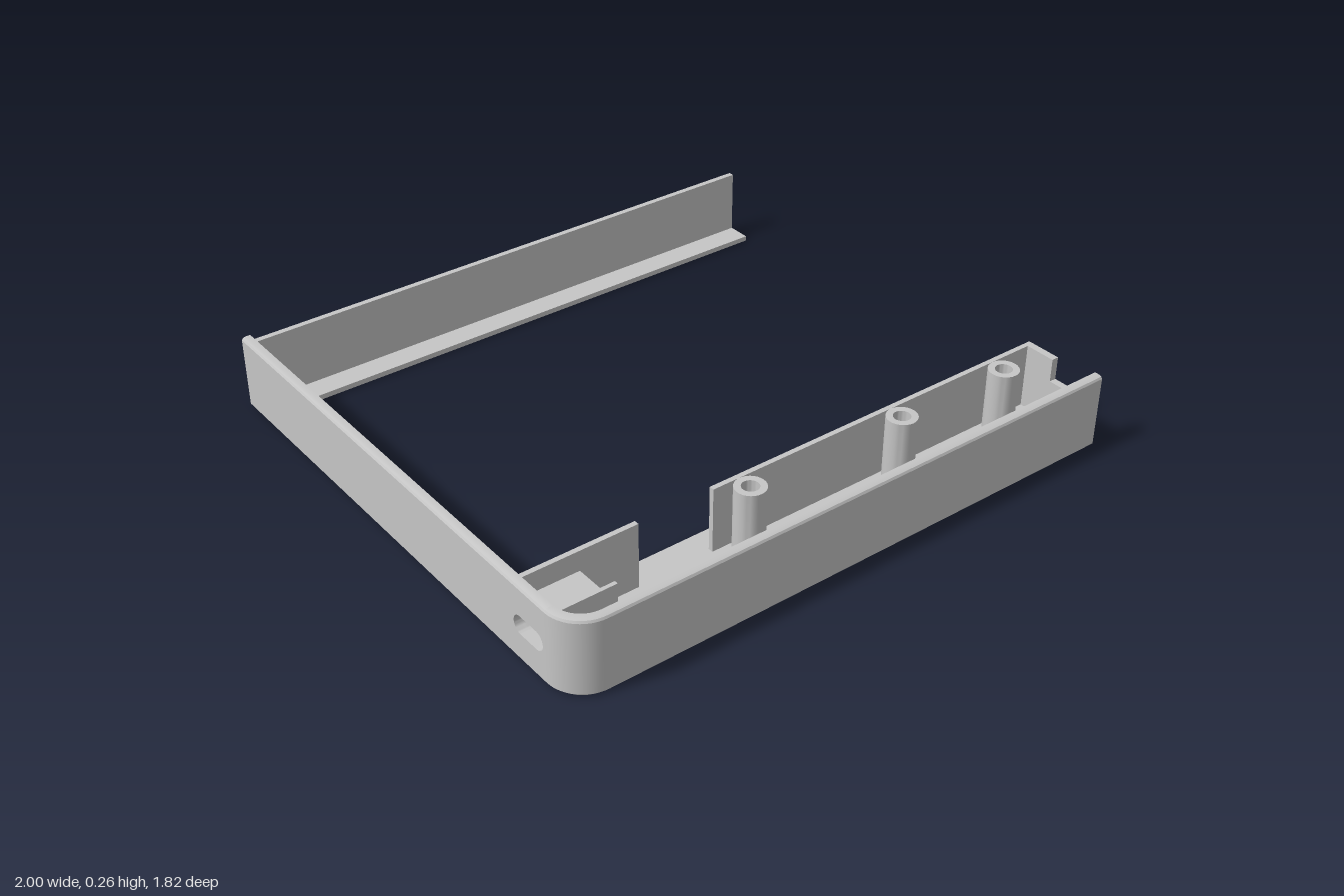
import * as THREE from 'three';
import { toCreasedNormals } from 'three/addons/utils/BufferGeometryUtils.js';

const grey = new THREE.MeshStandardMaterial({ color: 0xc6c6c6 });
grey.name = 'light grey plastic';

export function createModel() {
  const model = new THREE.Group();
  model.name = 'openFrameTray';

  function add(name, geometry) {
    const mesh = new THREE.Mesh(geometry, grey);
    mesh.name = name;
    model.add(mesh);
    return mesh;
  }

  // Box given by its lower and upper limits
  function block(name, x0, x1, y0, y1, z0, z1) {
    const g = new THREE.BoxGeometry(x1 - x0, y1 - y0, z1 - z0);
    g.translate((x0 + x1) / 2, (y0 + y1) / 2, (z0 + z1) / 2);
    return add(name, g);
  }

  // Plate drawn in (-z, y) and extruded along +x
  function crossPlate(name, shape, x, thickness) {
    const g = new THREE.ExtrudeGeometry(shape, { depth: thickness, bevelEnabled: false, curveSegments: 10 });
    g.rotateY(Math.PI / 2).translate(x, 0, 0);
    return add(name, toCreasedNormals(g, 0.5));
  }

  const polygon = (pts) => new THREE.Shape(pts.map(([a, b]) => new THREE.Vector2(a, b)));

  // Sweep a wall section (inward offset, height) along stations [x, z, outward x, outward z]
  function sweepWall(name, stations, section) {
    const out = [];
    const at = (s, [d, y]) => [s[0] - s[2] * d, y, s[1] - s[3] * d];
    const tri = (a, b, c) => out.push(...a, ...b, ...c);
    const n = section.length;
    for (let i = 0; i < stations.length - 1; i++) {
      for (let j = 0; j < n; j++) {
        const k = (j + 1) % n;
        const a = at(stations[i], section[j]), b = at(stations[i], section[k]);
        const c = at(stations[i + 1], section[k]), d = at(stations[i + 1], section[j]);
        tri(a, d, c);
        tri(a, c, b);
      }
    }
    const faces = THREE.ShapeUtils.triangulateShape(section.map(([d, y]) => new THREE.Vector2(d, y)), []);
    const first = stations[0], last = stations[stations.length - 1];
    for (const [a, b, c] of faces) {
      tri(at(first, section[a]), at(first, section[b]), at(first, section[c]));
      tri(at(last, section[c]), at(last, section[b]), at(last, section[a]));
    }
    const g = new THREE.BufferGeometry();
    g.setAttribute('position', new THREE.Float32BufferAttribute(out, 3));
    return add(name, toCreasedNormals(g, 0.4));
  }

  // Floor flange with an open window and rounded inner corners
  const floor = new THREE.Shape();
  floor.moveTo(1, -0.895);
  floor.lineTo(1, -0.53);
  floor.lineTo(-0.86, -0.53);
  floor.quadraticCurveTo(-0.89, -0.53, -0.89, -0.5);
  floor.lineTo(-0.89, 0.775);
  floor.quadraticCurveTo(-0.89, 0.805, -0.86, 0.805);
  floor.lineTo(1, 0.805);
  floor.lineTo(1, 0.905);
  floor.lineTo(-0.985, 0.905);
  floor.lineTo(-0.985, -0.79);
  floor.absarc(-0.88, -0.79, 0.105, Math.PI, Math.PI * 1.5, false);
  const floorGeo = new THREE.ExtrudeGeometry(floor, { depth: 0.018, bevelEnabled: false, curveSegments: 10 });
  add('floorFlange', floorGeo.rotateX(-Math.PI / 2));

  // Front wall, rounded corner and side wall, with a softened rim and chamfered foot
  const front = [[1, 0.91, 0, 1]];
  for (let i = 0; i <= 12; i++) {
    const a = Math.PI / 2 * (1 + i / 12);
    const c = Math.cos(a), s = Math.sin(a);
    front.push([-0.88 + 0.12 * c, 0.79 + 0.12 * s, c, s]);
  }
  const side = [[-1, 0.79, -1, 0], [-1, -0.91, -1, 0]];
  const foot = [[0.01, 0], [0.03, 0]];
  const rim = [[0.03, 0.26], [0.013, 0.26], [0.004, 0.257], [0, 0.25]];
  sweepWall('frontWall', front, [...foot, ...rim, [0, 0.01]]);
  sweepWall('sideWallLower', side, [...foot, [0.03, 0.08], [0, 0.08], [0, 0.01]]);
  sweepWall('sideWallUpper', side, [[0, 0.18], [0.03, 0.18], ...rim]);

  // Middle band of the side wall and the connector seat, pierced by the cable slot
  const slot = new THREE.Path();
  slot.absarc(-0.672, 0.128, 0.031, -Math.PI / 2, Math.PI / 2, false);
  slot.absarc(-0.748, 0.128, 0.031, Math.PI / 2, Math.PI * 1.5, false);
  slot.closePath();
  const band = polygon([[-0.79, 0.08], [0.91, 0.08], [0.91, 0.18], [-0.79, 0.18]]);
  const seat = polygon([[-0.8, 0.01], [-0.615, 0.01], [-0.615, 0.172], [-0.8, 0.172]]);
  band.holes.push(slot);
  seat.holes.push(slot);
  crossPlate('sideWallSlotBand', band, -1, 0.03);
  crossPlate('connectorSeat', seat, -0.97, 0.2);
  block('connectorRib', -0.975, -0.77, 0.172, 0.24, 0.787, 0.8);

  // Lower back wall
  block('backWall', -0.99, 1, 0, 0.24, -0.91, -0.89);

  // Compartment walls behind the front wall
  block('innerWallShort', -0.975, -0.57, 0.01, 0.24, 0.607, 0.624);
  block('innerWallLong', -0.305, 1, 0.01, 0.24, 0.607, 0.624);

  // Notched end wall
  crossPlate('endWall', polygon([
    [-0.89, 0], [-0.607, 0], [-0.607, 0.24], [-0.73, 0.24],
    [-0.73, 0.16], [-0.872, 0.16], [-0.872, 0.24], [-0.89, 0.24],
  ]), 0.975, 0.025);

  // Hollow screw posts
  const post = [[0.028, 0.018], [0.05, 0.018], [0.05, 0.24], [0.028, 0.24], [0.028, 0.018]];
  for (const x of [-0.21, 0.38, 0.815]) {
    const g = new THREE.LatheGeometry(post.map(([r, y]) => new THREE.Vector2(r, y)), 28);
    add('screwPost', toCreasedNormals(g, 0.5)).position.set(x, 0, 0.674);
  }

  return model;
}
